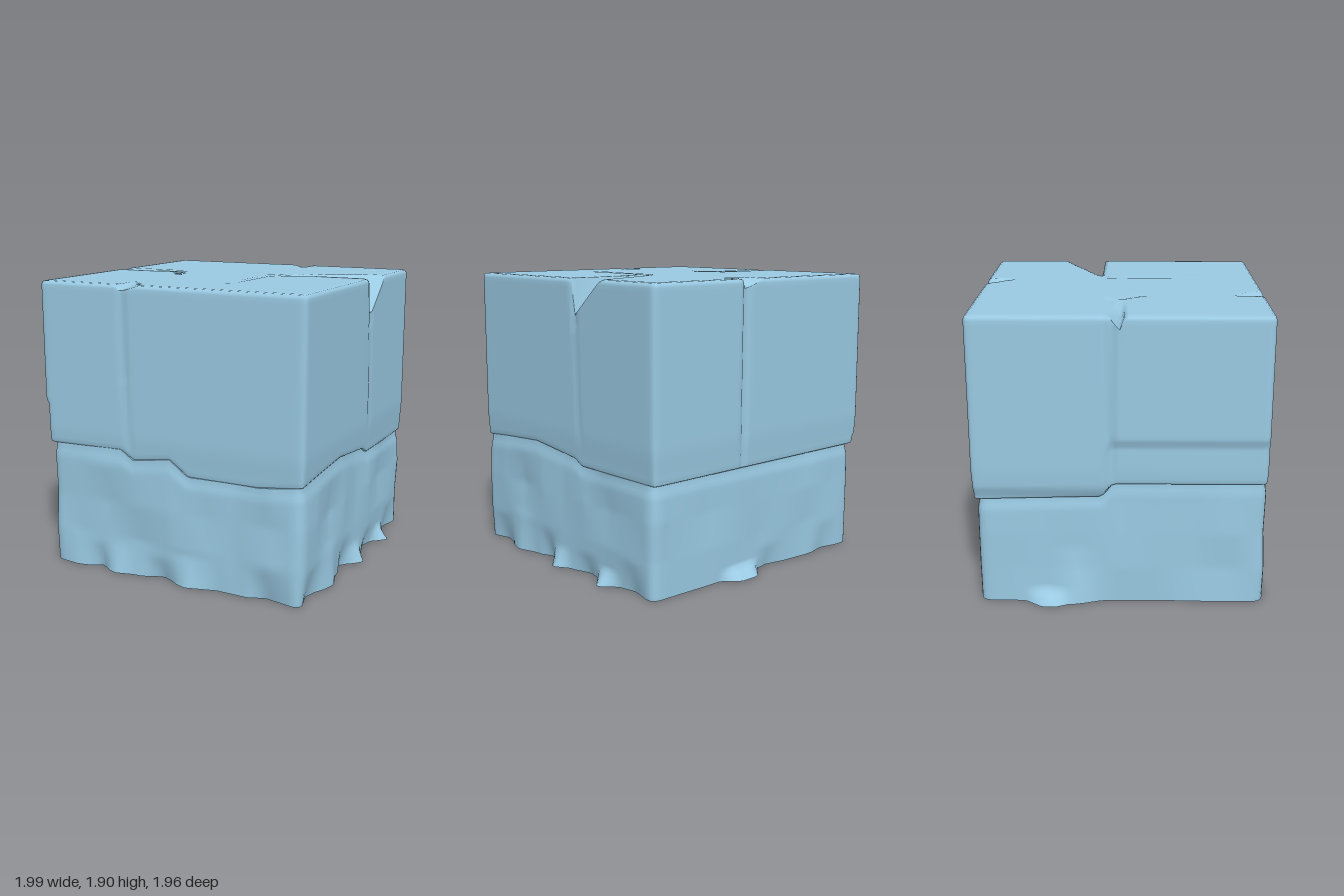
import * as THREE from 'three';
import { mergeVertices } from 'three/addons/utils/BufferGeometryUtils.js';

const { clamp, lerp, smoothstep } = THREE.MathUtils;
const TOP = 1.9;

// Piecewise linear curve through [position, value] pairs
function curve(points, t) {
  if (t <= points[0][0]) return points[0][1];
  for (let i = 1; i < points.length; i++) {
    const [a, va] = points[i - 1], [b, vb] = points[i];
    if (t <= b) return lerp(va, vb, (t - a) / (b - a));
  }
  return points[points.length - 1][1];
}

// Height of the ledge between the cut block and the rough foot, per side
const frontSeam = [[-0.9, 0.81], [-0.36, 0.82], [-0.27, 0.76], [0, 0.8], [0.13, 0.7], [0.6, 0.7], [0.9, 0.73]];
const rightSeam = [[-0.9, 0.69], [-0.2, 0.69], [-0.13, 0.73], [0.3, 0.78], [0.9, 0.74]];
const leftSeam = [[-0.9, 0.7], [-0.12, 0.72], [-0.05, 0.81], [0.9, 0.81]];
const backSeam = [[-0.9, 0.7], [0.9, 0.69]];
function seam(x, z) {
  const wx = Math.pow(Math.abs(x), 12) + 1e-6, wz = Math.pow(Math.abs(z), 12) + 1e-6;
  const sx = curve(x > 0 ? rightSeam : leftSeam, z);
  const sz = curve(z > 0 ? frontSeam : backSeam, x);
  return (sx * wx + sz * wz) / (wx + wz);
}

// Seeded linear value noise, roughly -1 to 1
function hash(i, j, k) {
  const s = Math.sin(i * 127.1 + j * 311.7 + k * 74.7) * 43758.5453;
  return (s - Math.floor(s)) * 2 - 1;
}
function noise(x, y, z) {
  const i = Math.floor(x), j = Math.floor(y), k = Math.floor(z);
  const u = x - i, v = y - j, w = z - k;
  let sum = 0;
  for (let n = 0; n < 8; n++) {
    const a = n & 1, b = (n >> 1) & 1, c = n >> 2;
    sum += hash(i + a, j + b, k + c) * (a ? u : 1 - u) * (b ? v : 1 - v) * (c ? w : 1 - w);
  }
  return sum;
}

// Subdivided box whose vertices are moved by a rule, with smooth shared normals
function shapedBox(size, segments, rule) {
  const geometry = new THREE.BoxGeometry(...size, ...segments);
  geometry.deleteAttribute('uv');
  geometry.deleteAttribute('normal');
  const merged = mergeVertices(geometry, 1e-4);
  const pos = merged.attributes.position, p = new THREE.Vector3();
  for (let i = 0; i < pos.count; i++) {
    rule(p.fromBufferAttribute(pos, i));
    pos.setXYZ(i, p.x, p.y, p.z);
  }
  merged.computeVertexNormals();
  return merged;
}

// Pulls a point onto a rounded box and returns its outward direction
function roundOff(p, half, radius) {
  const q = new THREE.Vector3(...['x', 'y', 'z'].map((a) => clamp(p[a], -half[a] + radius[a], half[a] - radius[a])));
  const n = p.clone().sub(q);
  if (n.lengthSq() > 0) {
    n.normalize();
    p.set(q.x + n.x * radius.x, q.y + n.y * radius.y, q.z + n.z * radius.z);
  }
  return n;
}

// Cracks: start, end, half width, depth
const cracks = [
  [[-0.33, 1.9, 0.92], [-0.32, 1.3, 0.92], 0.045, 0.02],
  [[-0.32, 1.3, 0.92], [-0.29, 0.78, 0.92], 0.045, 0.015],
  [[0.17, 1.9, -0.94], [0.18, 0.7, -0.94], 0.035, 0.03],
  [[0.92, 1.9, -0.15], [0.92, 1.6, -0.17], 0.035, 0.025],
  [[0.92, 1.6, -0.17], [0.92, 0.7, -0.21], 0.035, 0.015],
  [[-0.95, 1.9, -0.06], [-0.95, 0.7, -0.08], 0.04, 0.04],
  [[-0.95, 1.9, -0.06], [-0.47, 1.9, -0.07], 0.04, 0.02],
  [[-0.45, 1.9, 0], [-0.36, 1.9, 0.14], 0.04, 0.01],
  [[0.24, 1.9, -0.08], [0.21, 1.9, 0.55], 0.04, 0.008],
  [[0.24, 1.9, -0.08], [0.55, 1.9, -0.18], 0.05, 0.015],
].map(([a, b, w, d]) => ({ line: new THREE.Line3(new THREE.Vector3(...a), new THREE.Vector3(...b)), w, d }));

// Sloped chips at the top rim: distance t from 0 inside to 1 at the rim, s away from the crack
function chip(p, t, s, width, depth) {
  if (t <= 0 || s < -0.02 || s > width * t) return;
  p.y = Math.min(p.y, TOP - depth * t * (1 - Math.max(s, 0) / (width * t)));
}

function shapeBlock(p) {
  const n = roundOff(p, { x: 0.932, y: 0.6, z: 0.932 }, { x: 0.04, y: 0.03, z: 0.04 });
  p.x -= 0.006;
  p.z -= 0.006;
  // Bottom edge follows the ledge
  const t = (p.y + 0.6) / 1.2;
  p.y = lerp(seam(p.x, p.z), TOP, t);
  // Thicker slabs high on the left side
  if (p.x < -0.8) p.x -= 0.02 * smoothstep(p.y, p.z > -0.07 ? 1.08 : 0.75, p.z > -0.07 ? 1.12 : 0.8);
  const near = new THREE.Vector3();
  // Faces lean in slightly towards the ledge
  let depth = 0.012 * (1 - smoothstep(p.y, 0.7, 0.95)) + 0.004;
  for (const { line, w, d } of cracks) {
    const gap = line.closestPointToPoint(p, true, near).distanceTo(p);
    if (gap < w) depth = Math.max(depth, d * (1 - gap / w));
  }
  if (n.y < 0.5) p.addScaledVector(n, -depth);
  else p.addScaledVector(n, 0.004 - depth);
  chip(p, (p.x - 0.3) / 0.62, -0.16 - p.z, 0.28, 0.24);
  chip(p, (-p.x - 0.47) / 0.48, -0.01 - p.z, 0.07, 0.08);
  chip(p, (p.z - 0.72) / 0.2, p.x + 0.33, 0.14, 0.04);
  chip(p, (-p.z - 0.74) / 0.2, 0.18 - p.x, 0.17, 0.07);
}

// Splayed chips at the ground: x, z, half width, reach, height
const flares = [
  [0.92, -0.46, 0.1, 0.1, 0.09], [0.92, 0.03, 0.11, 0.07, 0.12], [0.92, 0.5, 0.15, 0.03, 0.3],
  [-0.91, -0.47, 0.15, 0.11, 0.09], [-0.91, -0.3, 0.17, 0.045, 0.38],
  [0.12, -0.91, 0.11, 0.11, 0.07], [0.24, -0.91, 0.11, 0.1, 0.07], [0.13, 0.92, 0.2, 0.06, 0.2],
  [-0.4, 0.92, 0.12, 0.03, 0.2], [-0.72, 0.92, 0.16, 0.03, 0.25], [0.55, 0.92, 0.12, 0.025, 0.2],
];

// Hollows in the ground edge: x, z, half width, depth, height
const hollows = [
  [-0.55, 0.92, 0.1, 0.04, 0.18], [-0.08, 0.92, 0.14, 0.04, 0.15], [0.65, 0.92, 0.22, 0.04, 0.2],
  [0.92, 0.75, 0.16, 0.04, 0.2], [0.92, 0.18, 0.1, 0.04, 0.2], [0.92, -0.25, 0.14, 0.04, 0.15],
  [0.92, -0.7, 0.16, 0.04, 0.2], [-0.1, -0.91, 0.14, 0.03, 0.15], [-0.65, -0.91, 0.14, 0.03, 0.2],
].map(([x, z, width, depth, height]) => [x, z, width, -depth, height]);

function shapeFoot(p) {
  const n = roundOff(p, { x: 0.912, y: 0.5, z: 0.914 }, { x: 0.06, y: 0, z: 0.06 });
  n.y = 0;
  if (n.lengthSq() > 0) n.normalize();
  p.z += 0.006;
  const t = p.y + 0.5;
  p.y = t * (seam(p.x, p.z) + 0.02);
  // Slight undercut below the ledge and shallow unevenness, strongest at the front
  let push = -0.012 * smoothstep(t, 0.88, 0.98);
  const rough = p.z > 0.8 || p.x > 0.8 ? 0.018 : 0.01;
  push += rough * noise(p.x * 4.3 + 3, p.y * 4.2 + 1, p.z * 4.3);
  for (const [x, z, width, reach, height] of [...flares, ...hollows]) {
    const w = 1 - Math.hypot(p.x - x, p.z - z) / width;
    if (w > 0 && p.y < height) push += reach * w * (1 - p.y / height);
  }
  p.addScaledVector(n, push);
  p.x = clamp(p.x, -1, 1);
  p.z = clamp(p.z, -1, 1);
}

export function createModel() {
  const group = new THREE.Group();
  const stone = new THREE.MeshStandardMaterial({ color: 0x9acae3 });
  stone.name = 'paleBlueStone';

  // Cut stone block with cracks and chipped rim
  const block = new THREE.Mesh(shapedBox([1.864, 1.2, 1.864], [72, 40, 72], shapeBlock), stone);
  block.name = 'crackedBlock';

  // Rough foot below the ledge
  const foot = new THREE.Mesh(shapedBox([1.824, 1, 1.828], [60, 30, 60], shapeFoot), stone);
  foot.name = 'roughFoot';

  group.add(block, foot);
  return group;
}
